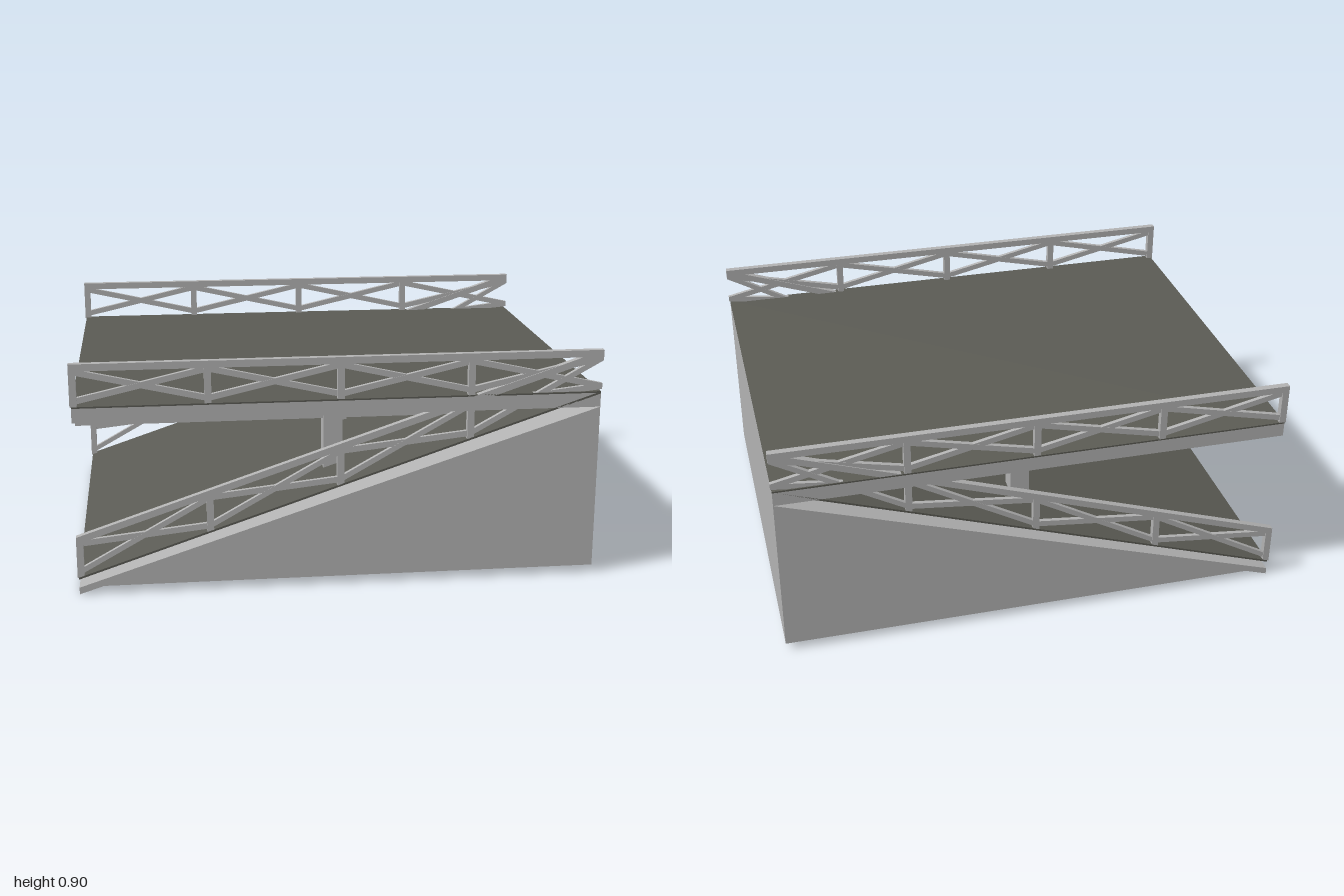
import * as THREE from 'three';

export function createModel() {
  const model = new THREE.Group();
  model.name = 'parkingRamp';
  const concrete = new THREE.MeshStandardMaterial({ color: 0xb2b2b2 });
  concrete.name = 'concrete';
  const asphalt = new THREE.MeshStandardMaterial({ color: 0x5b5b54 });
  asphalt.name = 'asphalt';

  const L = 0.995, W = 0.785;

  // Extrudes an x-y outline across z
  function prism(name, points, depth, z, material, parent = model) {
    const shape = new THREE.Shape(points.map(([x, y]) => new THREE.Vector2(x, y)));
    const geo = new THREE.ExtrudeGeometry(shape, { depth, bevelEnabled: false });
    geo.translate(0, 0, z - depth / 2);
    const mesh = new THREE.Mesh(geo, material);
    mesh.name = name;
    parent.add(mesh);
  }

  // Sloping bar with upright ends; y values give its lower edge
  function bar(name, x0, y0, x1, y1, h, depth, z, material, parent) {
    prism(name, [[x0, y0], [x1, y1], [x1, y1 + h], [x0, y0 + h]], depth, z, material, parent);
  }

  // Solid wedge and the ramp slab along its slope
  prism('wedgeBase', [[-0.91, 0.03], [L, 0.03], [L, 0.675], [-L, 0.027]], 2 * W, 0, concrete);
  prism('rampLip', [[-L, 0], [-0.9, 0.031], [-0.9, 0.058], [-L, 0.027]], 2 * W, 0, concrete);

  // Raised road surface of the ramp
  bar('rampSurface', -L, 0.06, L, 0.727, 0.008, 2 * W, 0, asphalt);

  // Upper deck
  bar('deck', -L, 0.675, L, 0.675, 0.055, 2 * W, 0, concrete);
  bar('deckSurface', -L, 0.73, L, 0.73, 0.006, 2 * W, 0, asphalt);

  // Beams, cross beam and columns below the deck
  for (const z of [-0.53, 0, 0.53]) {
    bar('deckBeam', -L, 0.605, 0.5, 0.605, 0.071, 0.1, z, concrete);
  }
  bar('crossBeam', -0.045, 0.603, 0.045, 0.603, 0.073, 1.2, 0, concrete);
  for (const z of [-0.5, 0.5]) {
    bar('column', -0.038, 0.33, 0.038, 0.33, 0.28, 0.08, z, concrete);
  }

  // Truss railing following a base line from yStart to yEnd
  function railing(name, yStart, yEnd, z) {
    const group = new THREE.Group();
    group.name = name;
    model.add(group);
    const base = (x) => yStart + (yEnd - yStart) * (x + 1) / 2;
    const piece = (part, x0, a, x1, b, h, depth) =>
      bar(part, x0, base(x0) + a, x1, base(x1) + b, h, depth, z, concrete, group);

    piece('topChord', -1, 0.135, 1, 0.135, 0.027, 0.026);
    const posts = [-0.987, -0.495, 0, 0.495];
    posts.forEach((x, i) => {
      piece('post', x - 0.013, 0, x + 0.013, 0, 0.15, 0.026);
      const end = i < 3 ? posts[i + 1] : 1;
      piece('risingBrace', x, 0.008, end, 0.12, 0.023, 0.018);
      piece('fallingBrace', x, 0.12, end, 0.008, 0.023, 0.016);
    });
  }

  for (const side of [-1, 1]) {
    const z = side * (W - 0.013);
    railing('deckRailing', 0.735, 0.735, z);
    railing('rampRailing', 0.066, 0.735, z);
  }

  return model;
}
